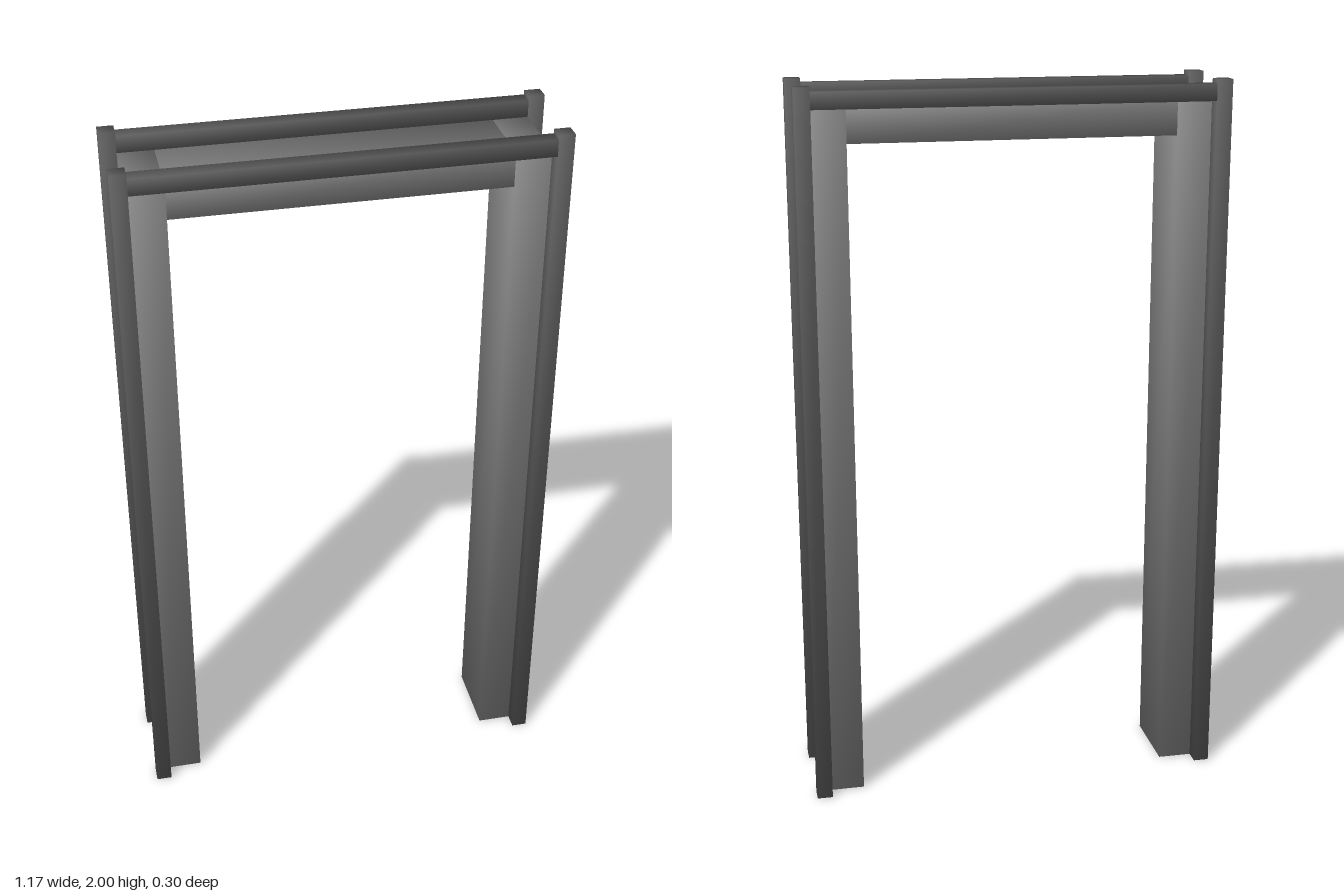
import * as THREE from 'three';
import { mergeVertices } from 'three/addons/utils/BufferGeometryUtils.js';

const frameMaterial = new THREE.MeshStandardMaterial({ color: 0x838383 });
const trimMaterial = new THREE.MeshStandardMaterial({ color: 0x5c5c5c });

// Box between two corners; each corner shares one diagonal normal for soft shading
function softBox(name, material, [x0, y0, z0], [x1, y1, z1]) {
  let geometry = new THREE.BoxGeometry(x1 - x0, y1 - y0, z1 - z0);
  geometry.deleteAttribute('normal');
  geometry.deleteAttribute('uv');
  geometry = mergeVertices(geometry);
  const normals = Array.from(geometry.attributes.position.array, (v) => Math.sign(v) / Math.sqrt(3));
  geometry.setAttribute('normal', new THREE.Float32BufferAttribute(normals, 3));
  const mesh = new THREE.Mesh(geometry, material);
  mesh.name = name;
  mesh.position.set((x0 + x1) / 2, (y0 + y1) / 2, (z0 + z1) / 2);
  return mesh;
}

// Near and far limits of a part on the given side of the centre, in rising order
const span = (near, far, sign) => (sign > 0 ? [near, far] : [-far, -near]);

export function createModel() {
  const group = new THREE.Group();
  group.name = 'doorFrame';

  const inner = 0.445;  // half width of the opening
  const outer = 0.54;   // outer face of the jambs
  const edge = 0.583;   // outer face of the corner posts
  const depth = 0.105;  // half depth of jambs and header
  const front = 0.148;  // outer face of the trim
  const top = 1.943;    // top of jambs and header

  // Header across the opening
  group.add(softBox('header', frameMaterial, [-inner, 1.85, -depth], [inner, top, depth]));

  for (const [side, sx] of [['left', 1], ['right', -1]]) {
    // Wide jamb on each side of the opening
    const [j0, j1] = span(inner, outer, sx);
    group.add(softBox(side + 'Jamb', frameMaterial, [j0, 0, -depth], [j1, top, depth]));

    // Slim square posts on the outer corners
    const [p0, p1] = span(outer, edge, sx);
    for (const [face, sz] of [['Front', 1], ['Back', -1]]) {
      const [z0, z1] = span(depth, front, sz);
      group.add(softBox(side + face + 'Post', trimMaterial, [p0, 0, z0], [p1, 2, z1]));
    }
  }

  // Top rails joining the posts, front and back
  for (const [face, sz] of [['front', 1], ['back', -1]]) {
    const [z0, z1] = span(depth, front, sz);
    group.add(softBox(face + 'TopRail', trimMaterial, [-outer, top, z0], [outer, 1.988, z1]));
  }

  return group;
}
